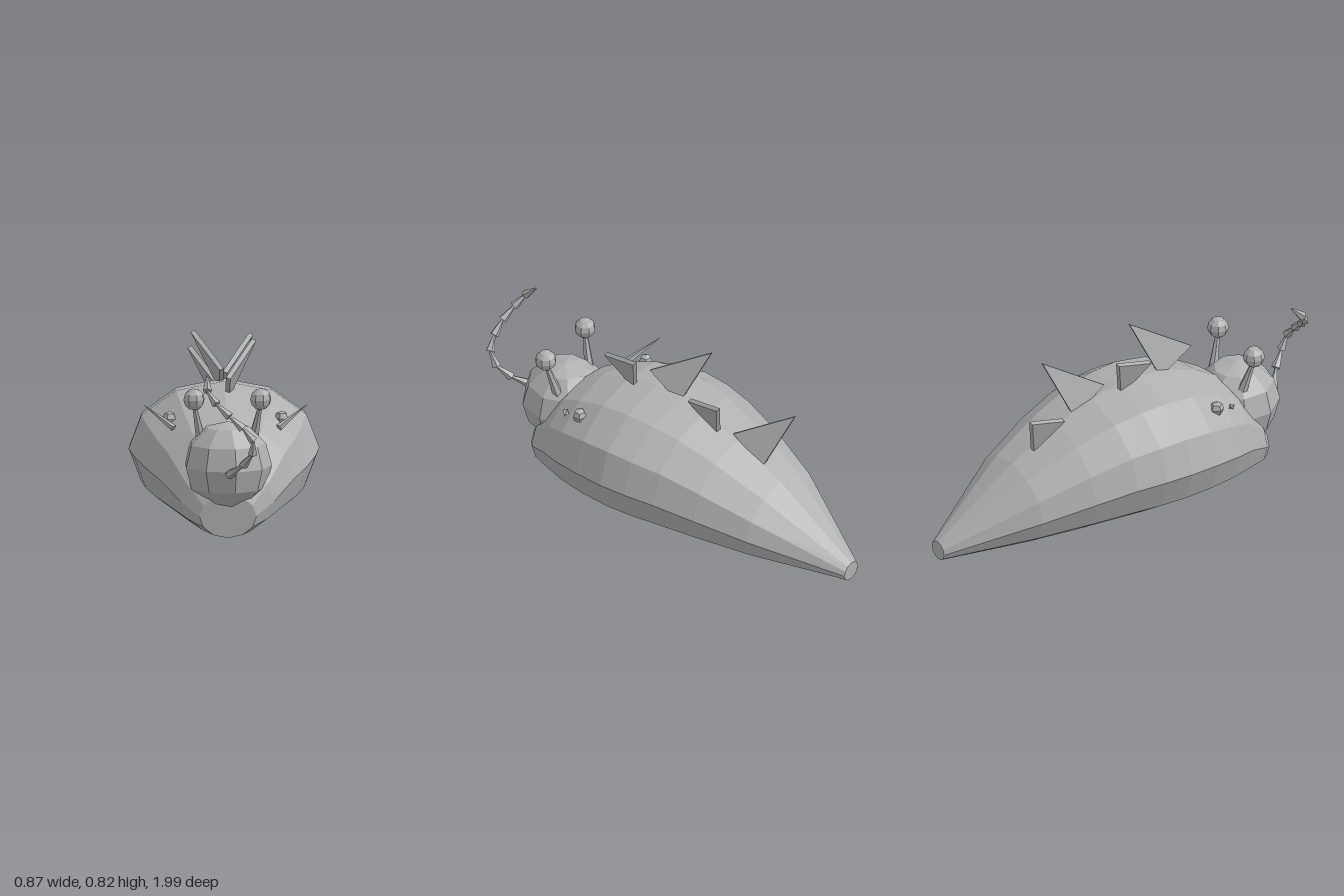
import * as THREE from 'three';
import { ConvexGeometry } from 'three/addons/geometries/ConvexGeometry.js';

const V = (x, y, z) => new THREE.Vector3(x, y, z);

export function createModel() {
  const model = new THREE.Group();
  const grey = new THREE.MeshStandardMaterial({ color: 0xb0b0b0, flatShading: true });
  grey.name = 'grey';

  const add = (name, geometry, parent = model) => {
    const mesh = new THREE.Mesh(geometry, grey);
    mesh.name = name;
    parent.add(mesh);
    return mesh;
  };

  // Tapered segment running from point a to point b
  const taper = (name, a, b, ra, rb, sides, parent) => {
    const dir = b.clone().sub(a);
    const mesh = add(name, new THREE.CylinderGeometry(rb, ra, dir.length(), sides), parent);
    mesh.position.copy(a).add(b).multiplyScalar(0.5);
    mesh.quaternion.setFromUnitVectors(V(0, 1, 0), dir.normalize());
    return mesh;
  };

  // Body: twelve-sided oval rings resting on the ground, [z, half width, half height]
  const rings = [
    [0.71, 0.13, 0.1], [0.645, 0.215, 0.16], [0.51, 0.31, 0.24], [0.4, 0.368, 0.272],
    [0.25, 0.415, 0.299], [0.1, 0.435, 0.309], [-0.03, 0.426, 0.304], [-0.17, 0.397, 0.29],
    [-0.36, 0.346, 0.252], [-0.6, 0.262, 0.188], [-1, 0.052, 0.044],
  ];
  const sides = 12;
  const points = [];
  const faces = [];
  for (const [z, rx, ry] of rings) {
    for (let j = 0; j < sides; j++) {
      const a = (j / sides) * Math.PI * 2;
      points.push(rx * Math.sin(a), ry * (1 - Math.cos(a)), z);
    }
  }
  for (let i = 0; i < rings.length - 1; i++) {
    for (let j = 0; j < sides; j++) {
      const f = i * sides + j;
      const g = i * sides + ((j + 1) % sides);
      faces.push(f, f + sides, g + sides, f, g + sides, g);
    }
  }
  // Flat end caps
  const last = (rings.length - 1) * sides;
  for (let j = 1; j < sides - 1; j++) {
    faces.push(0, j, j + 1, last, last + j + 1, last + j);
  }
  const bodyGeometry = new THREE.BufferGeometry();
  bodyGeometry.setAttribute('position', new THREE.Float32BufferAttribute(points, 3));
  bodyGeometry.setIndex(faces);
  bodyGeometry.computeVertexNormals();
  add('body', bodyGeometry);

  // Head: nine-sided low-poly ball
  const head = add('head', new THREE.SphereGeometry(0.203, 9, 6));
  head.position.set(0, 0.32, 0.61);
  head.rotation.y = Math.PI;

  // Eye stalks, side bumps and side spikes
  for (const s of [1, -1]) {
    const side = s > 0 ? 'left' : 'right';
    taper(side + 'EyeStalk', V(s * 0.12, 0.43, 0.565), V(s * 0.15, 0.595, 0.61), 0.025, 0.01, 6);
    const eye = add(side + 'Eye', new THREE.SphereGeometry(0.05, 8, 6));
    eye.position.set(s * 0.152, 0.625, 0.612);
    eye.rotation.y = 0.25;
    const bump = add(side + 'Bump', new THREE.SphereGeometry(0.034, 5, 4));
    bump.position.set(s * 0.256, 0.49, 0.345);
    taper(side + 'Spike', V(s * 0.24, 0.462, 0.435), V(s * 0.375, 0.555, 0.345), 0.016, 0, 4);
  }

  // Back fins: thin triangular plates leaning alternately left and right
  const fins = [[1, 0, 0], [-1, 0, -0.235], [1, -0.055, -0.47], [-1, -0.155, -0.705]];
  for (const [s, dy, dz] of fins) {
    const corners = [V(s * 0.011, 0.68, 0.375), V(s * 0.011, 0.565, 0.21), V(s * 0.137, 0.813, 0.12)];
    corners.forEach((p) => p.add(V(0, dy, dz)));
    const offset = new THREE.Triangle(...corners).getNormal(V(0, 0, 0)).multiplyScalar(0.011);
    const both = corners.flatMap((p) => [p.clone().add(offset), p.clone().sub(offset)]);
    add('backFin', new ConvexGeometry(both));
  }

  // Tongue: chain of small cones along a rising curl
  const curl = [
    V(0, 0.31, 0.815), V(0.065, 0.365, 0.87), V(0.105, 0.425, 0.925), V(0.108, 0.495, 0.958),
    V(0.06, 0.553, 0.97), V(0, 0.607, 0.966), V(-0.06, 0.66, 0.943), V(-0.1, 0.715, 0.908),
    V(-0.1, 0.775, 0.85),
  ];
  const tongue = new THREE.Group();
  tongue.name = 'tongue';
  model.add(tongue);
  for (let i = 0; i < curl.length - 1; i++) {
    const end = curl[i].clone().lerp(curl[i + 1], i < 7 ? 1.12 : 1);
    taper('tongueSegment', curl[i], end, 0.022, 0.004, 5, tongue);
  }

  return model;
}
